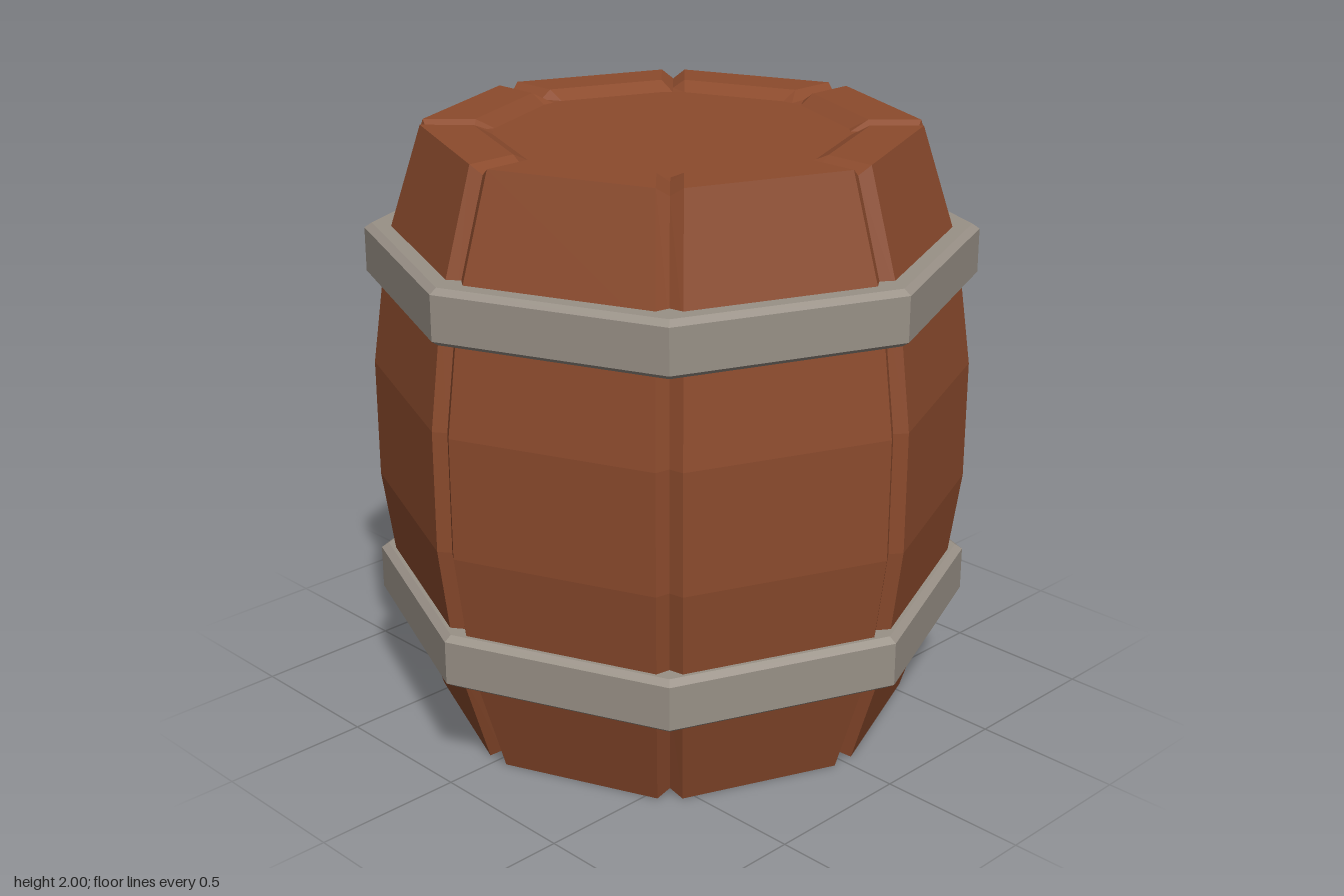
import * as THREE from 'three';

const SIDES = 8;
const GROOVE = 0.04; // half width of the groove between staves

const wood = new THREE.MeshStandardMaterial({ color: 0x8c4b2d, flatShading: true });
wood.name = 'wood';
const iron = new THREE.MeshStandardMaterial({ color: 0x999187, flatShading: true });
iron.name = 'iron';

// Lower half of the barrel: [stave edge radius, y, groove radius, groove y]
const half = [
  [0.57, 0.03, 0.57, 0.03],
  [0.63, 0, 0.63, 0.028],
  [0.8, 0, 0.783, 0.028],
  [0.928, 0.4, 0.9, 0.4],
  [0.983, 0.8, 0.955, 0.8],
];

// Eight staves with V grooves at the corners, closed by recessed heads
function barrelGeometry() {
  const mirrored = half.map(([r, y, gr, gy]) => [r, 2 - y, gr, 2 - gy]).reverse();
  const rows = [...half, ...mirrored];
  const cols = SIDES * 3;
  const positions = [];
  const index = [];
  for (const [r, y, gr, gy] of rows) {
    for (let s = 0; s < SIDES; s++) {
      const a = (s / SIDES) * Math.PI * 2;
      for (const t of [-GROOVE, 0, GROOVE]) {
        const rad = t === 0 ? gr : r;
        positions.push(
          rad * Math.cos(a) - t * Math.sin(a),
          t === 0 ? gy : y,
          rad * Math.sin(a) + t * Math.cos(a),
        );
      }
    }
  }
  const bottom = rows.length * cols;
  const top = bottom + 1;
  positions.push(0, half[0][1], 0, 0, 2 - half[0][1], 0);

  const last = (rows.length - 1) * cols;
  for (let j = 0; j < cols; j++) {
    const k = (j + 1) % cols;
    for (let i = 0; i < rows.length - 1; i++) {
      const a = i * cols + j, b = i * cols + k;
      index.push(a, a + cols, b + cols, a, b + cols, b);
    }
    index.push(bottom, j, k, top, last + k, last + j);
  }
  const geometry = new THREE.BufferGeometry();
  geometry.setAttribute('position', new THREE.Float32BufferAttribute(positions, 3));
  geometry.setIndex(index);
  const flat = geometry.toNonIndexed();
  flat.computeVertexNormals();
  return flat;
}

// Octagonal band with bevelled rims, centred on its own height
function hoopGeometry() {
  const profile = [
    [0.85, -0.09], [0.975, -0.09], [1, -0.073],
    [1, 0.073], [0.975, 0.09], [0.85, 0.09], [0.85, -0.09],
  ].map(([r, y]) => new THREE.Vector2(r, y));
  return new THREE.LatheGeometry(profile, SIDES);
}

export function createModel() {
  const model = new THREE.Group();
  model.name = 'barrel';

  const staves = new THREE.Mesh(barrelGeometry(), wood);
  staves.name = 'staves';
  model.add(staves);

  const hoop = hoopGeometry();
  for (const [name, y] of [['lowerHoop', 0.433], ['upperHoop', 1.577]]) {
    const mesh = new THREE.Mesh(hoop, iron);
    mesh.name = name;
    mesh.position.y = y;
    model.add(mesh);
  }
  return model;
}
